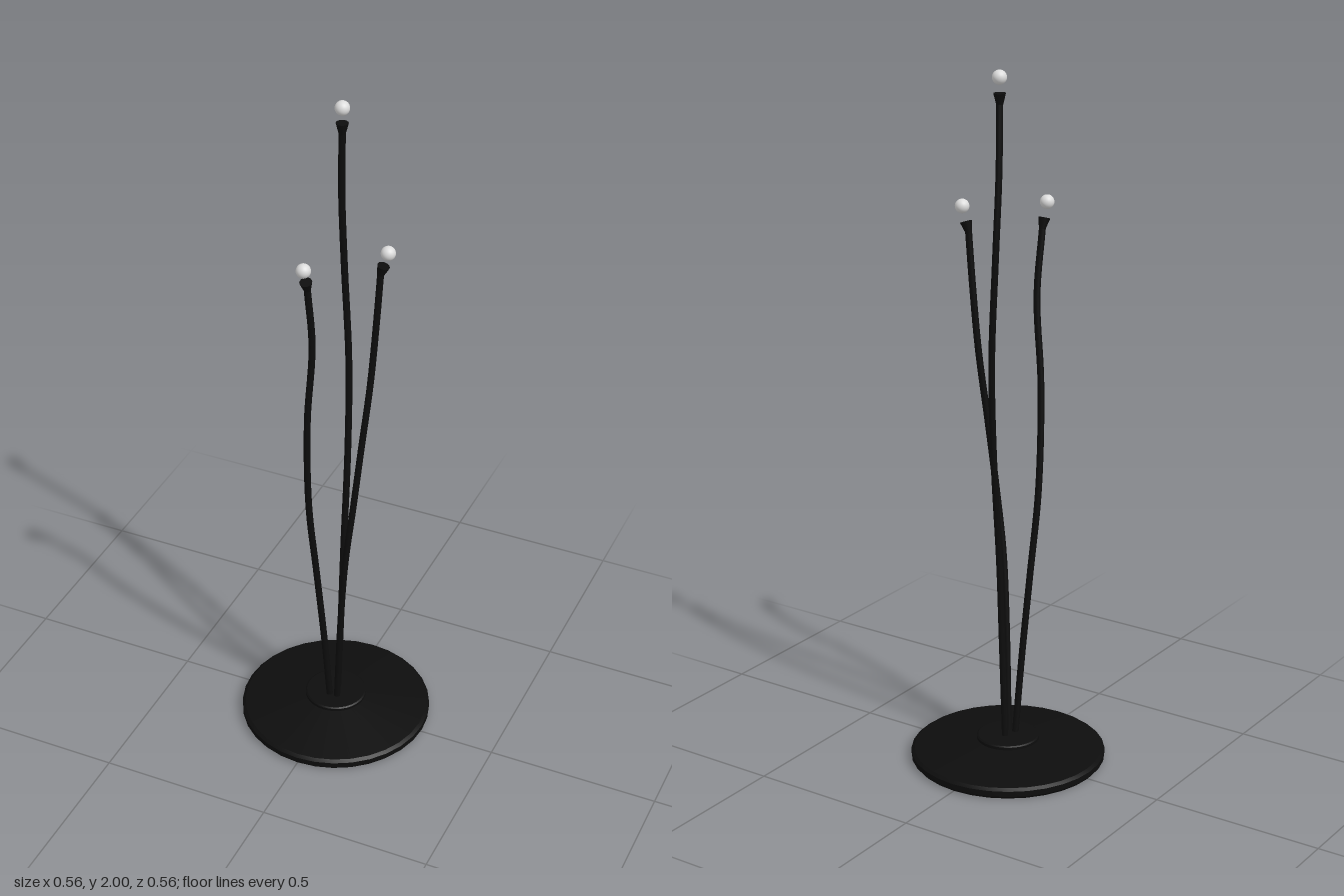
import * as THREE from 'three';
import { toCreasedNormals } from 'three/addons/utils/BufferGeometryUtils.js';

export function createModel() {
  const model = new THREE.Group();
  model.name = 'floorLamp';

  const black = new THREE.MeshStandardMaterial({ color: 0x0d0d0d });
  black.name = 'black metal';
  const white = new THREE.MeshStandardMaterial({ color: 0xdcdcdc });
  white.name = 'white glass';

  const add = (name, geometry, material, parent = model) => {
    const mesh = new THREE.Mesh(geometry, material);
    mesh.name = name;
    parent.add(mesh);
    return mesh;
  };

  // Round foot: low rim, shallow cone and a raised collar in the middle
  const profile = [
    [0, 0], [0.272, 0], [0.279, 0.008], [0.279, 0.024], [0.27, 0.031],
    [0.09, 0.058], [0.09, 0.066], [0.086, 0.069], [0, 0.069],
  ].map(([r, y]) => new THREE.Vector2(r, y));
  add('base', toCreasedNormals(new THREE.LatheGeometry(profile, 32), 0.5), black);

  // Each stem: path points, ending at the socket, and the bulb centre
  const stems = [
    {
      name: 'tallStem',
      bulb: [0, 1.98, -0.04],
      path: [[0, 0.05, -0.014], [0.01, 0.35, -0.015], [0.015, 0.6, -0.021], [0.015, 0.92, -0.048],
        [0.009, 1.2, -0.066], [-0.007, 1.5, -0.07], [-0.008, 1.72, -0.055], [0, 1.91, -0.039]],
    },
    {
      name: 'leftStem',
      bulb: [0.148, 1.608, -0.003],
      path: [[0.014, 0.05, 0.024], [0.036, 0.38, 0.046], [0.055, 0.6, 0.058], [0.077, 0.8, 0.054],
        [0.093, 1.0, 0.036], [0.109, 1.2, 0.016], [0.12, 1.4, 0.003], [0.127, 1.54, -0.003]],
    },
    {
      name: 'frontStem',
      bulb: [-0.016, 1.608, 0.168],
      path: [[-0.008, 0.05, 0.024], [-0.017, 0.3, 0.046], [-0.03, 0.55, 0.068], [-0.041, 0.8, 0.093],
        [-0.033, 1.1, 0.115], [-0.014, 1.35, 0.122], [-0.016, 1.54, 0.145]],
    },
  ];

  for (const { name, path, bulb } of stems) {
    const group = new THREE.Group();
    group.name = name;
    model.add(group);
    const points = path.map((p) => new THREE.Vector3(...p));
    const centre = new THREE.Vector3(...bulb);
    const tip = points[points.length - 1];

    // Gently bent rod
    const curve = new THREE.CatmullRomCurve3(points);
    add('rod', new THREE.TubeGeometry(curve, 40, 0.0095, 10), black, group);

    // Flared socket pointing at the bulb
    const aim = centre.clone().sub(tip).normalize();
    const socket = add('socket', new THREE.CylinderGeometry(0.017, 0.009, 0.032, 16), black, group);
    socket.position.copy(tip).addScaledVector(aim, 0.012);
    socket.quaternion.setFromUnitVectors(new THREE.Vector3(0, 1, 0), aim);

    // Small globe held just clear of the socket
    add('bulb', new THREE.SphereGeometry(0.02, 24, 16), white, group).position.copy(centre);
  }

  return model;
}
